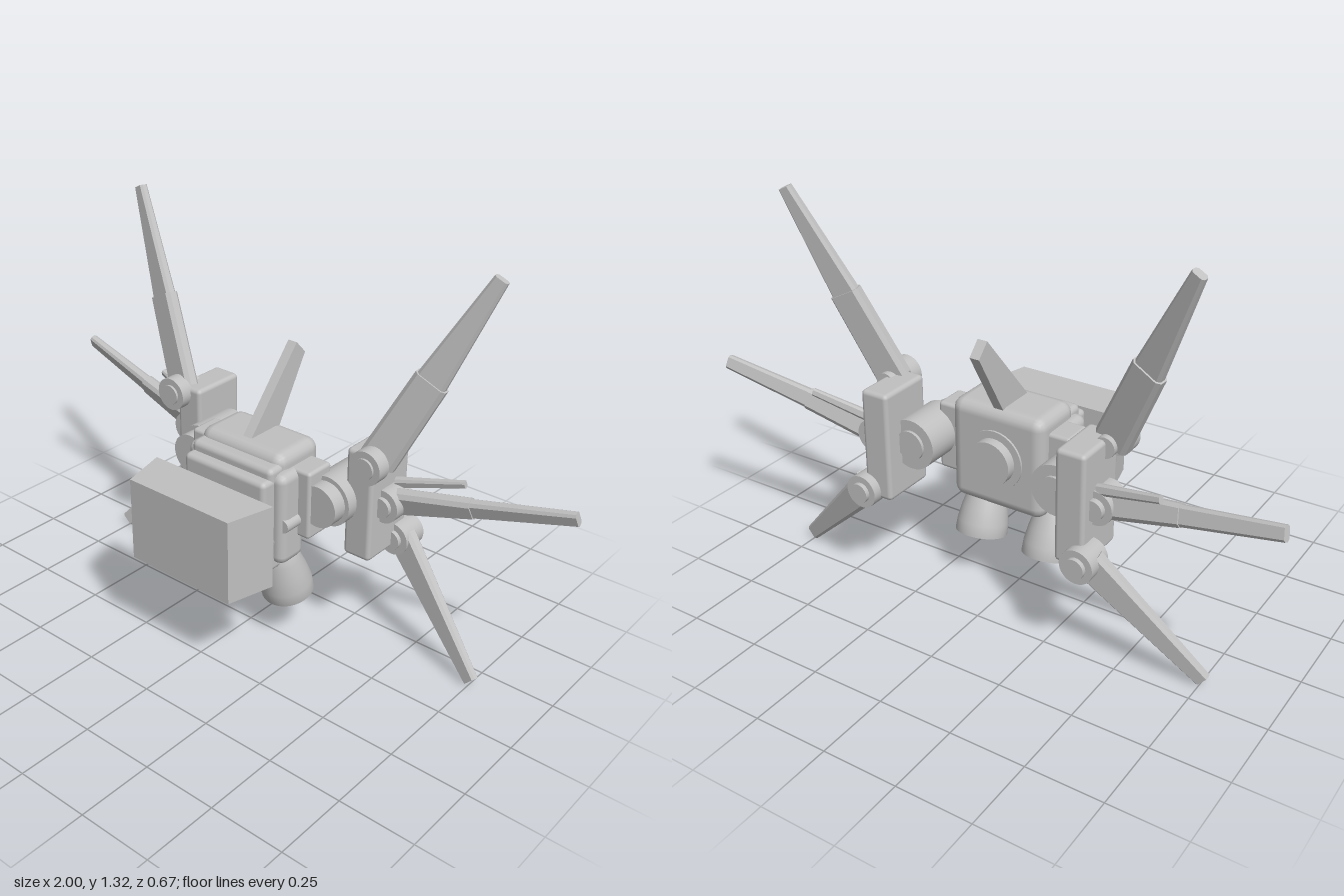
import * as THREE from 'three';
import { RoundedBoxGeometry } from 'three/addons/geometries/RoundedBoxGeometry.js';
import { ConvexGeometry } from 'three/addons/geometries/ConvexGeometry.js';

const V = (x, y, z) => new THREE.Vector3(x, y, z);

export function createModel() {
  const model = new THREE.Group();
  model.name = 'wingedThrusterPack';
  const grey = new THREE.MeshStandardMaterial({ color: 0xc0c0c0 });
  grey.name = 'light grey';
  grey.side = THREE.DoubleSide;

  const add = (name, geometry, parent = model) => {
    const mesh = new THREE.Mesh(geometry, grey);
    mesh.name = name;
    parent.add(mesh);
    return mesh;
  };
  // Box given by its extents, with softened edges
  const box = (name, x0, x1, y0, y1, z0, z1, r, parent) => {
    const g = new RoundedBoxGeometry(Math.abs(x1 - x0), y1 - y0, z1 - z0, 2, r);
    return add(name, g.translate((x0 + x1) / 2, (y0 + y1) / 2, (z0 + z1) / 2), parent);
  };
  // Cylinder lying along z
  const drum = (name, x, y, z0, z1, r, parent) =>
    add(name, new THREE.CylinderGeometry(r, r, z1 - z0, 32).rotateX(Math.PI / 2).translate(x, y, (z0 + z1) / 2), parent);

  // Tapered blade with bevelled edges: a to b, each end [chord, thickness]
  const blade = (name, a, b, hint, end0, end1, parent) => {
    const axis = b.clone().sub(a).normalize();
    const chord = hint.clone().addScaledVector(axis, -hint.dot(axis)).normalize();
    const thick = axis.clone().cross(chord);
    const points = [];
    for (const [p, [c, t]] of [[a, end0], [b, end1]])
      for (const i of [-1, 1]) for (const j of [-1, 1])
        for (const [u, v] of [[c / 2, t / 4], [c / 2 - t / 4, t / 2]])
          points.push(p.clone().addScaledVector(chord, i * u).addScaledVector(thick, j * v));
    return add(name, new ConvexGeometry(points), parent);
  };

  // Body: stacked blocks and a round rear hatch
  box('rearBody', -0.17, 0.17, 0.35, 0.7, -0.14, 0.06, 0.04);
  box('middleBody', -0.2, 0.2, 0.33, 0.65, -0.03, 0.085, 0.03);
  box('bodyCollar', -0.165, 0.165, 0.32, 0.67, 0.03, 0.1, 0.02);
  box('frontBody', -0.165, 0.165, 0.305, 0.637, 0.02, 0.135, 0.018);
  drum('rearHatch', 0, 0.53, -0.18, -0.12, 0.075);
  drum('rearHatchRim', 0, 0.53, -0.147, -0.12, 0.1);

  // Separate tapered shield in front
  const shield = [];
  for (const s of [-1, 1]) for (const y of [0.33, 0.612])
    shield.push(V(s * 0.24, y, 0.18), V(s * 0.2, y, 0.338));
  add('frontShield', new ConvexGeometry(shield));

  // Swept centre fin
  const fin = [];
  for (const x of [-0.017, 0.017])
    fin.push(V(x, 0.68, 0.035), V(x, 0.955, -0.2), V(x, 0.91, -0.243), V(x, 0.68, -0.11));
  add('topFin', new ConvexGeometry(fin));

  for (const s of [1, -1]) {
    const side = new THREE.Group();
    side.name = s > 0 ? 'leftSide' : 'rightSide';
    model.add(side);

    // Shoulder: side plate, swivel drum and wing mount
    box('sidePlate', s * 0.15, s * 0.243, 0.415, 0.65, -0.1, 0.01, 0.012, side);
    drum('shoulderDrum', s * 0.265, 0.54, -0.22, -0.05, 0.085, side);
    drum('shoulderCap', s * 0.265, 0.54, -0.05, 0, 0.07, side);
    drum('shoulderRearCap', s * 0.265, 0.54, -0.23, -0.2, 0.05, side);
    box('wingMount', s * 0.303, s * 0.403, 0.35, 0.725, -0.288, -0.09, 0.015, side);
    drum('sidePin', s * 0.19, 0.475, 0, 0.075, 0.023, side);

    // Hinges, each a drum with a narrower pin
    for (const [name, x, y, z0, z1, p0, p1] of [
      ['upperHinge', 0.398, 0.7, -0.1, -0.052, -0.17, -0.044],
      ['middleHinge', 0.41, 0.535, -0.235, -0.14, -0.255, -0.125],
      ['lowerHinge', 0.398, 0.375, -0.32, -0.225, -0.335, -0.21],
    ]) {
      drum(name, s * x, y, z0, z1, 0.056, side);
      drum(name + 'Pin', s * x, y, p0, p1, 0.034, side);
    }

    // Upper and middle wings: thick root section and slimmer outer section
    for (const [name, a, b, hint, root, mid, tip] of [
      ['upperWing', V(s * 0.4, 0.705, -0.12), V(s * 0.692, 1.313, -0.24), V(s, -0.45, -0.15),
        [0.12, 0.05], [0.108, 0.048], [0.044, 0.028]],
      ['middleWing', V(s * 0.41, 0.535, -0.19), V(s * 0.995, 0.664, -0.26), V(0, 1, 0.35),
        [0.095, 0.05], [0.068, 0.046], [0.047, 0.028]],
    ]) {
      blade(name + 'Root', a, a.clone().lerp(b, 0.46), hint, root, mid, side);
      blade(name + 'Tip', a.clone().lerp(b, 0.4), b, hint, [mid[0] * 0.95, 0.038], tip, side);
    }
    blade('smallFin', V(s * 0.41, 0.59, -0.215), V(s * 0.628, 0.645, -0.255), V(0, 1, 0.3),
      [0.035, 0.03], [0.024, 0.02], side);
    blade('lowerWing', V(s * 0.41, 0.37, -0.265), V(s * 0.757, 0.026, -0.17), V(s, 1, 0.1),
      [0.11, 0.045], [0.052, 0.028], side);

    // Tilted engine with a hollow bell
    const profile = [
      [0, 0.13], [0.045, 0.125], [0.07, 0.06], [0.08, 0], [0.087, 0], [0.085, 0.04], [0.076, 0.09],
      [0.063, 0.14], [0.055, 0.165], [0.05, 0.17], [0.05, 0.21], [0.064, 0.215], [0.064, 0.265],
      [0.055, 0.28], [0, 0.28],
    ].map(([r, y]) => new THREE.Vector2(r, y));
    const engine = add('engine', new THREE.LatheGeometry(profile, 32), side);
    engine.position.set(s * 0.13, 0.172, -0.033);
    engine.rotation.x = 0.265;
  }
  return model;
}
